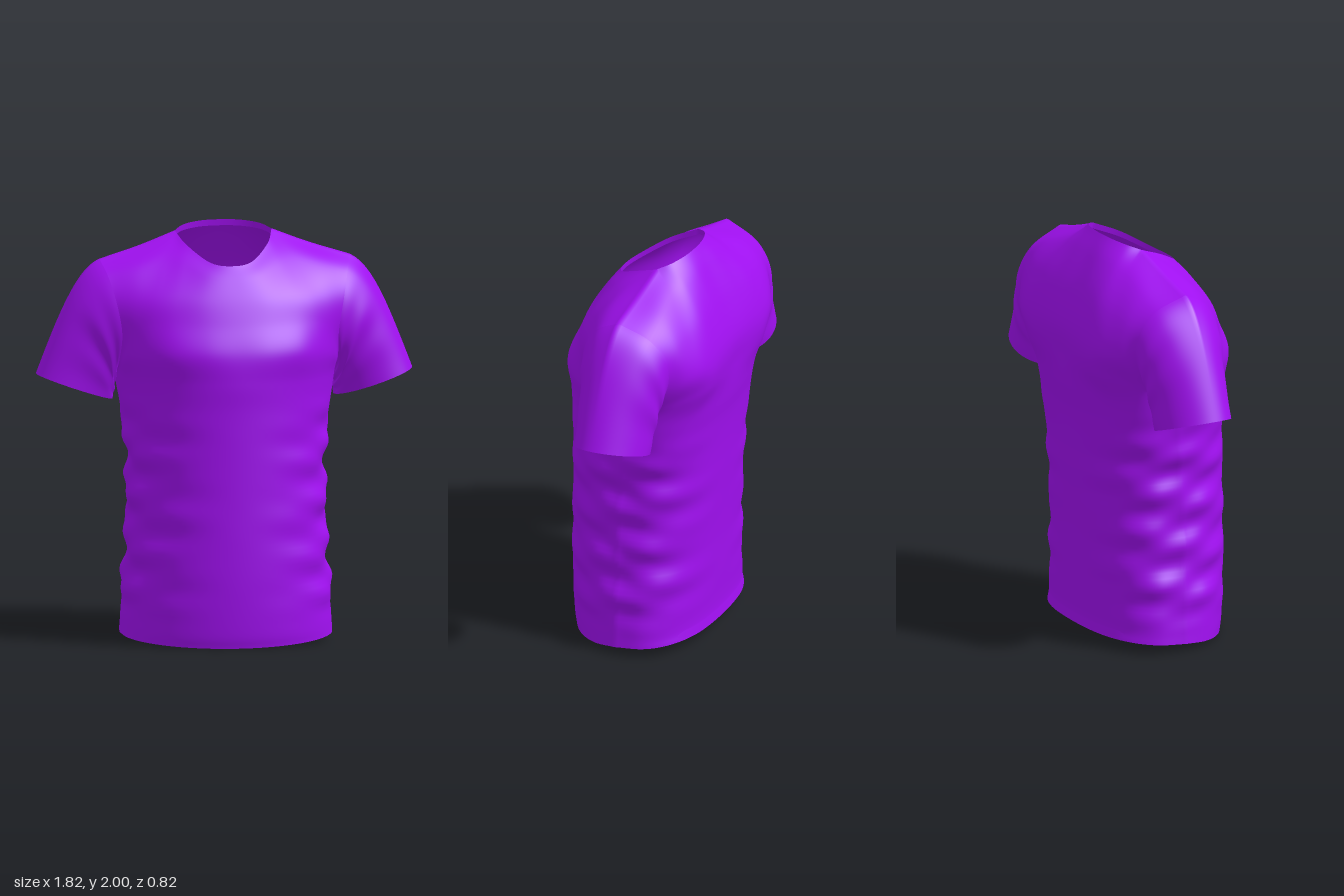
import * as THREE from 'three';
import { mergeGeometries, mergeVertices } from 'three/addons/utils/BufferGeometryUtils.js';

const cloth = new THREE.MeshStandardMaterial({ color: 0xa010f0, side: THREE.DoubleSide });
const N = 8; // samples per control segment
const ARMPIT = 8; // control row where the armholes begin

// Catmull-Rom through points; cuts are indices where the curve may turn a corner
function spline(pts, t, cuts = []) {
  const ends = [0, ...cuts, pts.length - 1];
  const i = Math.min(Math.floor(t), pts.length - 2), f = t - i;
  const a = pts[i], b = pts[i + 1];
  const before = ends.includes(i) ? null : pts[i - 1];
  const after = ends.includes(i + 1) ? null : pts[i + 2];
  return a.map((v, k) => {
    const p = before ? before[k] : 2 * v - b[k];
    const q = after ? after[k] : 2 * b[k] - v;
    const m0 = (b[k] - p) / 2, m1 = (q - v) / 2, d = b[k] - v;
    return v + f * (m0 + f * (3 * d - 2 * m0 - m1 + f * (m0 + m1 - 2 * d)));
  });
}

// Surface through a list of equally long rows of points
function surface(rows) {
  const n = rows[0].length, index = [];
  for (let j = 0; j < rows.length - 1; j++)
    for (let i = 0; i < n - 1; i++) {
      const a = j * n + i, c = a + n;
      index.push(a, a + 1, c + 1, a, c + 1, c);
    }
  const g = new THREE.BufferGeometry();
  g.setAttribute('position', new THREE.Float32BufferAttribute(rows.flat(2), 3));
  g.setIndex(index);
  return g;
}

function weld(...parts) {
  const g = mergeVertices(mergeGeometries(parts), 1e-4);
  g.computeVertexNormals();
  return g;
}

function mesh(name, geometry) {
  const m = new THREE.Mesh(geometry, cloth);
  m.name = name;
  return m;
}

// Lower body sections: height, half width, front z, back z, side seam z
const sections = [
  [0.04, 0.515, 0.37, -0.335, 0], [0.11, 0.51, 0.385, -0.325, 0], [0.3, 0.5, 0.4, -0.33, 0],
  [0.5, 0.485, 0.405, -0.335, 0], [0.68, 0.48, 0.405, -0.343, 0], [0.85, 0.478, 0.405, -0.352, -0.01],
  [1.0, 0.49, 0.405, -0.36, -0.025], [1.15, 0.51, 0.405, -0.372, -0.04], [1.28, 0.53, 0.41, -0.39, -0.05],
];

// Chest and shoulder control points, from the centre line to the armhole
const chest = [
  [[0, 1.42, 0.402], [0.16, 1.42, 0.392], [0.31, 1.42, 0.345], [0.42, 1.41, 0.26], [0.5, 1.385, 0.16], [0.53, 1.36, 0.08]],
  [[0, 1.56, 0.345], [0.15, 1.56, 0.335], [0.29, 1.56, 0.3], [0.39, 1.55, 0.255], [0.47, 1.525, 0.2], [0.525, 1.5, 0.15]],
  [[0, 1.67, 0.295], [0.14, 1.675, 0.285], [0.26, 1.69, 0.25], [0.36, 1.69, 0.215], [0.46, 1.67, 0.18], [0.55, 1.65, 0.14]],
  [[0, 1.76, 0.24], [0.12, 1.775, 0.22], [0.225, 1.82, 0.145], [0.31, 1.845, 0.08], [0.45, 1.81, 0.075], [0.58, 1.77, 0.06]],
  [[0, 1.825, 0.19], [0.1, 1.84, 0.16], [0.195, 1.91, 0.04], [0.235, 1.965, -0.09], [0.41, 1.9, -0.075], [0.605, 1.84, -0.06]],
];
const upperBack = [
  [[0, 1.42, -0.4], [0.15, 1.42, -0.405], [0.3, 1.42, -0.4], [0.41, 1.41, -0.355], [0.49, 1.39, -0.28], [0.535, 1.36, -0.19]],
  [[0, 1.57, -0.4], [0.15, 1.57, -0.405], [0.29, 1.56, -0.408], [0.39, 1.55, -0.395], [0.48, 1.53, -0.355], [0.545, 1.5, -0.29]],
  [[0, 1.74, -0.34], [0.14, 1.74, -0.345], [0.26, 1.74, -0.345], [0.37, 1.73, -0.33], [0.48, 1.7, -0.32], [0.565, 1.65, -0.3]],
  [[0, 1.9, -0.255], [0.11, 1.9, -0.255], [0.21, 1.895, -0.24], [0.3, 1.88, -0.215], [0.45, 1.83, -0.22], [0.585, 1.77, -0.22]],
  [[0, 2.0, -0.19], [0.1, 1.997, -0.18], [0.185, 1.985, -0.145], [0.235, 1.965, -0.09], [0.41, 1.9, -0.075], [0.605, 1.84, -0.06]],
];

// Soft diagonal folds gathered at the sides of the waist
function fold([x, y, z]) {
  const fade = THREE.MathUtils.smoothstep(y, 0.08, 0.3) * (1 - THREE.MathUtils.smoothstep(y, 0.9, 1.25));
  const side = Math.min(1, (x / 0.45) ** 2);
  const d = 1 + 0.022 * fade * side * (Math.sin(27 * y + 9 * z) + 0.5 * Math.sin(41 * y - 14 * z + x * 3));
  return [x * d, y, z * d];
}

// One half of the body as dense rows running from the right side to the left
function panel(isFront) {
  const lower = sections.map(([y, w, zf, zb, zs]) => {
    const e = isFront ? 1 : 0.8, sag = (isFront ? -0.04 : 0.02) * Math.max(0, 1 - y / 0.4) / 0.9;
    return Array.from({ length: 6 }, (_, k) => {
      const s = Math.sin(k * Math.PI / 10) ** e, c = Math.max(0, Math.cos(k * Math.PI / 10)) ** e;
      return [w * s, y + sag * c, zs + ((isFront ? zf : zb) - zs) * c];
    });
  });
  const control = [...lower, ...(isFront ? chest : upperBack)].map((half, j, all) => {
    const row = [...half.slice(1).reverse().map(([x, y, z]) => [-x, y, z]), ...half];
    const cuts = j === all.length - 1 ? [2, 8] : []; // neck corners
    return Array.from({ length: 10 * N + 1 }, (_, i) => spline(row, i / N, cuts));
  });
  const count = (control.length - 1) * N;
  return Array.from({ length: count + 1 }, (_, j) => control[0].map((_, i) => {
    const cuts = i === 0 || i === 10 * N ? [ARMPIT] : [];
    return fold(spline(control.map(r => r[i]), j / N, cuts));
  }));
}

// Narrow turned-in band along an edge loop
function band(loop, move) {
  return weld(surface([loop, loop.map(move)]));
}

// Sleeve swept from the armhole loop to a tilted oval cuff
function sleeve(armhole) {
  const steps = 28, n = armhole.length - 1;
  const rows = Array.from({ length: steps + 1 }, () => []);
  armhole.forEach((p, i) => {
    const a = i / n * Math.PI * 2, k = (1 + Math.cos(a)) / 2;
    const cuff = [0.723 + 0.187 * Math.cos(a), 1.225 + 0.065 * Math.cos(a), -0.1 + 0.17 * Math.sin(a) + 0.04 * k * k];
    const out = [0.115, -0.05, 0], up = [-0.11, 0.29, 0];
    const c1 = p.map((v, m) => v + k * out[m] + (1 - k) * (cuff[m] - v) / 3);
    const c2 = cuff.map((v, m) => v + k * up[m] + (1 - k) * (p[m] - v) / 3);
    const curve = new THREE.CubicBezierCurve3(...[p, c1, c2, cuff].map(q => new THREE.Vector3(...q)));
    rows.forEach((row, j) => {
      const t = j / steps, q = curve.getPoint(t);
      const w = 0.006 * Math.sin(Math.PI * t) * (1 - k) * Math.sin(16 * t + 2 * Math.sin(a));
      row.push([q.x + w, q.y, q.z + w * Math.sin(a) * 1.5]);
    });
  });
  return rows;
}

export function createModel() {
  const shirt = new THREE.Group();
  shirt.name = 'shirt';

  // Body: front and back joined along side and shoulder seams
  const front = panel(true), back = panel(false).map(r => r.reverse());
  shirt.add(mesh('body', weld(surface(front), surface(back))));

  // Collar and bottom hem bands
  const top = front.length - 1, a = 2 * N, b = 8 * N;
  const neck = [...front[top].slice(a, b + 1), ...back[top].slice(a + 1, b + 1)];
  shirt.add(mesh('collarBand', band(neck, ([x, y, z]) => [x * 1.02, y - 0.03, z * 1.02])));
  const hem = [...front[0], ...back[0].slice(1)];
  shirt.add(mesh('hemBand', band(hem, ([x, y, z]) => [x * 0.98, y + 0.045, z * 0.98])));

  // Sleeves share their first ring with the armhole edges
  const edge = rows => rows.slice(ARMPIT * N);
  const armhole = [
    ...edge(front).map(r => r[10 * N]).reverse(),
    ...edge(back).map(r => r[0]).slice(1),
  ];
  const rows = sleeve(armhole);
  for (const s of [1, -1]) {
    const side = s > 0 ? 'left' : 'right';
    // Reversing the mirrored rows keeps the faces pointing outwards
    const flipped = rows.map(r => {
      const m = r.map(([x, y, z]) => [s * x, y, z]);
      return s > 0 ? m : m.reverse();
    });
    shirt.add(mesh(side + 'Sleeve', weld(surface(flipped))));
    const cuff = flipped[flipped.length - 1];
    shirt.add(mesh(side + 'CuffBand', band(cuff, ([x, y, z]) =>
      [s * 0.723 + (x - s * 0.723) * 0.95 - s * 0.015, 1.225 + (y - 1.225) * 0.95 + 0.045, -0.1 + (z + 0.1) * 0.95])));
  }
  return shirt;
}
